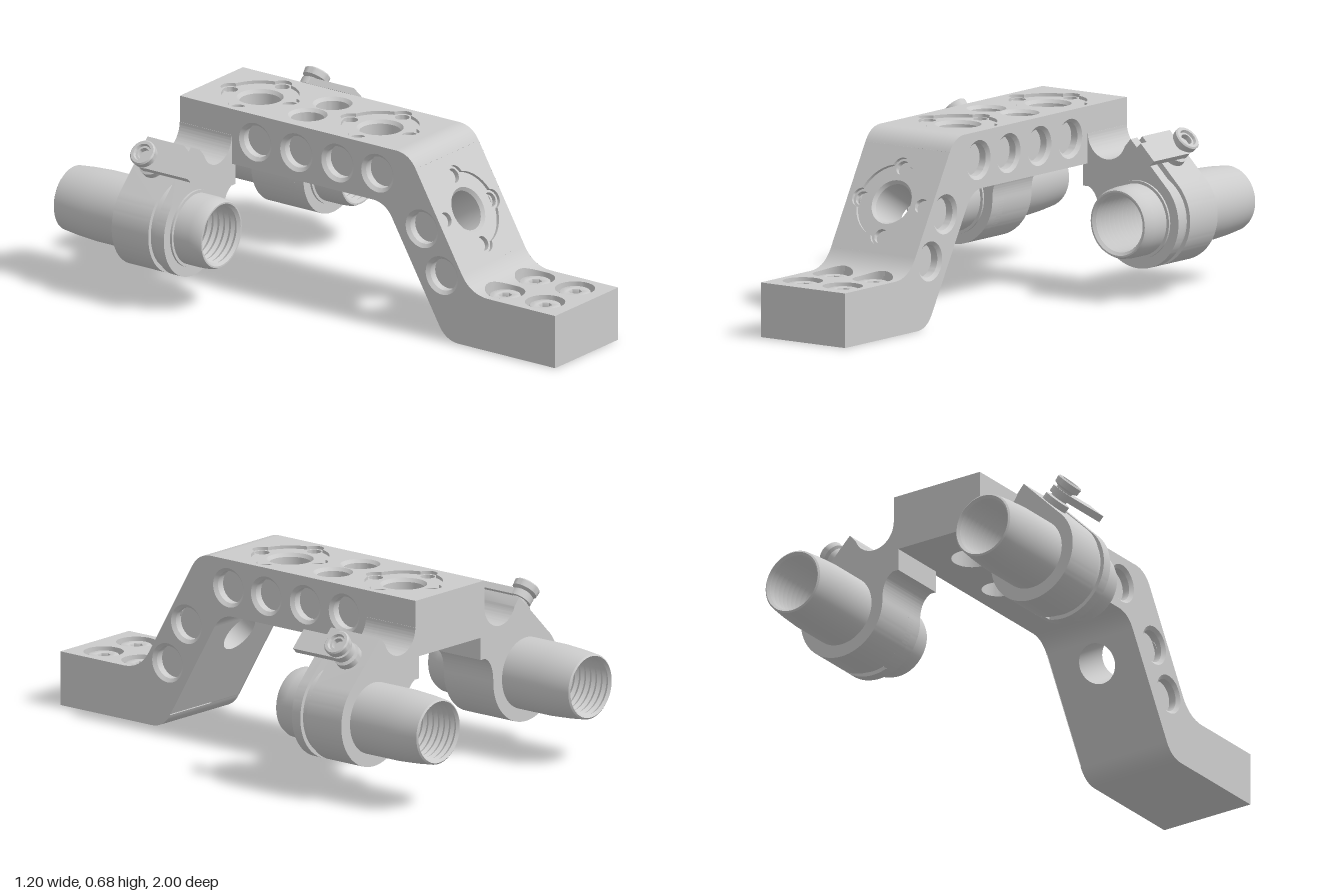
import * as THREE from 'three';
import { toCreasedNormals } from 'three/addons/utils/BufferGeometryUtils.js';

const mat = new THREE.MeshStandardMaterial({ color: 0xcccccc, side: THREE.DoubleSide });
const W = 0.19; // half width of the arm
const V = (x, y) => new THREE.Vector2(x, y);

function add(parent, name, geo, crease = 0) {
  const m = new THREE.Mesh(crease ? toCreasedNormals(geo, crease) : geo, mat);
  m.name = name;
  parent.add(m);
  return m;
}

// Grid whose vertices follow fn(u, v) -> [x, y, z]
function sheet(nu, nv, fn) {
  const g = new THREE.PlaneGeometry(1, 1, nu, nv), p = g.attributes.position;
  for (let i = 0; i < p.count; i++) p.setXYZ(i, ...fn(p.getX(i) + 0.5, p.getY(i) + 0.5));
  g.computeVertexNormals();
  return g;
}

// Closed outline around (cx, cy) with radius r(angle)
function ring(cx, cy, r, n = 40) {
  const pts = [];
  for (let i = 0; i < n; i++) {
    const a = (i / n) * Math.PI * 2, q = typeof r === 'function' ? r(a) : r;
    pts.push(V(cx + q * Math.cos(a), cy + q * Math.sin(a)));
  }
  return pts;
}

function plate(parent, name, outline, holes = [], z = 0) {
  const s = outline instanceof THREE.Shape ? outline : new THREE.Shape(outline);
  for (const h of holes) s.holes.push(new THREE.Path(h));
  return add(parent, name, new THREE.ShapeGeometry(s, 24).translate(0, 0, z));
}

// Wall joining outline a at depth za to outline b at depth zb
function wall(parent, name, a, za, b, zb) {
  const n = a.length;
  return add(parent, name, sheet(n, 1, (u, v) => {
    const i = Math.round(u * n) % n, p = v > 0.5 ? a[i] : b[i];
    return [p.x, p.y, v > 0.5 ? za : zb];
  }), 0.6);
}

// Flat face: local z points out of the material
function face(parent, name, pos, rx = 0, ry = 0) {
  const g = new THREE.Group();
  g.name = name;
  g.position.set(...pos);
  g.rotation.set(rx, ry, 0);
  parent.add(g);
  return g;
}
const rect = (x0, y0, x1, y1) => [V(x0, y0), V(x1, y0), V(x1, y1), V(x0, y1)];

// Four-lobed mounting recess with a through bore and four pin holes
function mount(parent, cy, thickness) {
  const d = 0.133, lobe = 0.036;
  const outline = ring(0, cy, a => {
    const k = ((a + Math.PI / 4) % (Math.PI / 2)) - Math.PI / 4, q = lobe ** 2 - (d * Math.sin(k)) ** 2;
    return q > 0 ? Math.max(0.142, d * Math.cos(k) + Math.sqrt(q)) : 0.142;
  }, 120);
  const wide = ring(0, cy, 0.085), bore = ring(0, cy, 0.075), holes = [wide];
  for (let i = 0; i < 4; i++) {
    const a = i * Math.PI / 2, x = d * Math.cos(a), y = cy + d * Math.sin(a), pin = ring(x, y, 0.027, 24);
    holes.push(pin);
    wall(parent, 'pinHole', pin, -0.012, pin, -0.03);
    plate(parent, 'pinHoleFloor', pin, [], -0.03);
  }
  wall(parent, 'recessWall', outline, 0, outline, -0.012);
  plate(parent, 'recessFloor', outline, holes, -0.012);
  wall(parent, 'boreChamfer', wide, -0.012, bore, -0.025);
  wall(parent, 'boreWall', bore, -0.025, bore, -thickness);
  return outline;
}

function buildArm() {
  const arm = new THREE.Group();
  arm.name = 'arm';
  // Bends of the side profile as [z, y] control points
  const bend = (...p) => new THREE.QuadraticBezierCurve(V(p[0], p[1]), V(p[2], p[3]), V(p[4], p[5]));
  const A = bend(0.70, 0.2, 0.619, 0.2, 0.5785, 0.27);
  const B = bend(0.372, 0.628, 0.342, 0.68, 0.282, 0.68);
  const D = bend(0.176, 0.47, 0.236, 0.47, 0.266, 0.418);
  const C = bend(0.478, 0.052, 0.508, 0, 0.568, 0);
  const profile = [V(1, 0.2), ...A.getPoints(16), ...B.getPoints(16), V(-0.69, 0.68), V(-0.69, 0.47),
    ...D.getPoints(16), ...C.getPoints(16), V(1, 0)];

  // Side faces with blind pockets
  const pockets = [[0.2, 0.575], [0.02, 0.575], [-0.165, 0.575], [-0.35, 0.575], [0.4, 0.405], [0.49, 0.245]];
  for (const s of [1, -1]) {
    const f = face(arm, 'sideFace', [s * W, 0, 0], 0, s * Math.PI / 2);
    const holes = pockets.map(([z, y]) => ring(-s * z, y, 0.073));
    plate(f, 'sidePlate', profile.map(p => V(-s * p.x, p.y)), holes);
    pockets.forEach(([z, y], i) => {
      const inner = ring(-s * z, y, 0.06);
      wall(f, 'pocketChamfer', holes[i], 0, inner, -0.012);
      wall(f, 'pocketWall', inner, -0.012, inner, -0.04);
      plate(f, 'pocketFloor', inner, [], -0.04);
    });
  }

  // Top deck: two mounts and a pair of through holes
  const top = face(arm, 'topDeck', [0, 0.68, 0], -Math.PI / 2);
  const topHoles = [mount(top, 0.47, 0.21), mount(top, -0.07, 0.21)];
  const under = [ring(0, 0.47, 0.075), ring(0, -0.07, 0.075)];
  for (const x of [-0.075, 0.075]) {
    const rim = ring(x, 0.2, 0.072), bore = ring(x, 0.2, 0.06);
    topHoles.push(rim);
    under.push(bore);
    wall(top, 'holeChamfer', rim, 0, bore, -0.012);
    wall(top, 'holeWall', bore, -0.012, bore, -0.21);
  }
  plate(top, 'topPlate', rect(-W, -0.282, W, 0.69), topHoles);
  plate(top, 'underPlate', rect(-W, -0.176, W, 0.69), under, -0.21);

  // Sloped part with its mount
  const slope = face(arm, 'slope', [0, 0.445, 0.4775], -Math.PI / 6);
  plate(slope, 'slopePlate', rect(-W, -0.202, W, 0.211), [mount(slope, 0, 0.192)]);
  plate(slope, 'slopeUnderPlate', rect(-W, -0.341, W, 0.083), [ring(0, 0, 0.075)], -0.192);

  // Rounded bends
  for (const c of [B, C, D])
    add(arm, 'bend', sheet(1, 16, (u, v) => { const p = c.getPoint(v); return [(u * 2 - 1) * W, p.y, p.x]; }));

  // Foot: the rear screw pockets cut into the bend
  const R = 0.073, SX = 0.09, floorY = 0.155;
  const half = z => Math.sqrt(Math.max(0, R * R - (z - 0.7) ** 2));
  const spans = [[() => -W, w => -SX - w], [w => -SX + w, w => SX - w], [w => SX + w, () => W]];
  for (const [lo, hi] of spans) add(arm, 'footBend', sheet(1, 48, (u, v) => {
    const p = A.getPoint(v), w = half(p.x);
    return [lo(w) + (hi(w) - lo(w)) * u, p.y, p.x];
  }));
  const foot = face(arm, 'foot', [0, 0.2, 0.85], -Math.PI / 2);
  const s = new THREE.Shape();
  s.moveTo(-W, -0.15).lineTo(W, -0.15).lineTo(W, 0.15);
  for (const x of [SX, -SX]) s.lineTo(x + R, 0.15).absarc(x, 0.15, R, 0, -Math.PI, true);
  s.lineTo(-W, 0.15);
  plate(foot, 'footPlate', s, [ring(SX, -0.03, R), ring(-SX, -0.03, R)]);
  for (const x of [SX, -SX]) for (const z of [0.70, 0.88]) {
    const y = 0.85 - z, rim = ring(x, y, R);
    plate(foot, 'screwPocketFloor', rim, [], floorY - 0.2);
    wall(foot, 'screwPocketWall', rim, 0, rim, floorY - 0.2);
    if (z === 0.70) for (const k of [1, -1]) add(arm, 'scallopWall', sheet(48, 1, (u, v) => {
      const p = A.getPoint(u);
      return [x + k * half(p.x), v > 0.5 ? p.y : floorY, p.x];
    }));
    // Socket head screw
    const head = new THREE.Shape(ring(0, 0, 0.052));
    head.holes.push(new THREE.Path(ring(0, 0, 0.03, 6)));
    const g = new THREE.ExtrudeGeometry(head, { depth: 0.03, bevelSize: 0.005, bevelThickness: 0.005, bevelSegments: 2 });
    add(foot, 'screwHead', g, 0.6).position.set(x, y, -0.045);
  }

  // End faces and sole
  const quad = (name, y0, z0, y1, z1) => add(arm, name,
    sheet(1, 1, (u, v) => [(u * 2 - 1) * W, y0 + (y1 - y0) * v, z0 + (z1 - z0) * v]));
  quad('frontEnd', 0, 1, 0.2, 1);
  quad('backEnd', 0.47, -0.69, 0.68, -0.69);
  quad('sole', 0, 1, 0, 0.568);
  return arm;
}

function buildClamp() {
  const clamp = new THREE.Group();
  clamp.name = 'clamp';
  const cx = 0.42, cy = 0.29, R = 0.18;
  const bracket = split => {
    const s = new THREE.Shape();
    s.moveTo(0.17, 0.58).lineTo(0.191, 0.58).absarc(0.277, 0.58, 0.086, Math.PI, 2 * Math.PI - 0.35, false);
    if (split) s.lineTo(0.36, 0.12).absarc(cx, cy, R, -1.91, -Math.PI, true);
    else s.lineTo(0.384, 0.58).lineTo(0.547, 0.417).absarc(cx, cy, R, Math.PI / 4, -Math.PI, true);
    s.quadraticCurveTo(0.24, 0.365, 0.194, 0.387).lineTo(0.17, 0.387);
    if (!split) s.holes.push(new THREE.Path(ring(cx, cy, 0.125)));
    return s;
  };
  const slab = (name, shape, z0, z1) => add(clamp, name,
    new THREE.ExtrudeGeometry(shape, { depth: z1 - z0, bevelEnabled: false, curveSegments: 40 }), 0.5)
    .position.set(0, 0, z0);
  const annulus = (r0, r1) => {
    const s = new THREE.Shape(ring(cx, cy, r1, 64));
    s.holes.push(new THREE.Path(ring(cx, cy, r0, 64)));
    return s;
  };
  slab('clampBody', bracket(false), -0.69, -0.525);
  slab('clampJaw', bracket(false), -0.495, -0.455);
  // Web bridging the slot, cut clear of the bore
  const web = bracket(true);
  web.curves = [];
  web.moveTo(0.17, 0.58).lineTo(0.191, 0.58).absarc(0.277, 0.58, 0.086, Math.PI, 2 * Math.PI - 0.35, false);
  web.lineTo(0.36, 0.40).absarc(cx, cy, 0.125, 2.07, 4.21, false);
  web.lineTo(0.36, 0.12).absarc(cx, cy, R, -1.91, -Math.PI, true);
  web.quadraticCurveTo(0.24, 0.365, 0.194, 0.387).lineTo(0.17, 0.387);
  slab('slotWeb', web, -0.525, -0.495);
  slab('slotRing', annulus(0.125, 0.165), -0.53, -0.49);
  slab('collar', annulus(0.125, 0.143), -0.46, -0.447);

  // Tube with a threaded bore
  const pts = [V(0.114, -1), V(0.12, -0.995), V(0.127, -0.93), V(0.132, -0.85), V(0.132, -0.38),
    V(0.129, -0.345), V(0.122, -0.33), V(0.116, -0.33)];
  for (let i = 0; i <= 50; i++) pts.push(V(i % 2 ? 0.112 : 0.105, -0.34 - i * 0.013));
  pts.push(pts[0].clone());
  const tube = add(clamp, 'tube', new THREE.LatheGeometry(pts, 56), 0.5);
  tube.rotation.x = Math.PI / 2;
  tube.position.set(cx, cy, 0);

  // Locking lever on the slanted ear
  const lever = new THREE.Group();
  lever.name = 'lockingLever';
  lever.position.set(0.46, 0.51, -0.605);
  lever.rotation.z = -Math.PI / 4;
  clamp.add(lever);
  const knob = [[0, -0.02], [0.05, -0.02], [0.05, 0.02], [0.032, 0.025], [0.032, 0.065], [0.048, 0.072],
    [0.05, 0.095], [0.045, 0.1], [0.034, 0.1], [0.03, 0.09], [0.022, 0.09], [0.022, 0.07], [0, 0.07]];
  add(lever, 'leverBolt', new THREE.LatheGeometry(knob.map(p => V(...p)), 32), 0.5);
  add(lever, 'leverHub', new THREE.CylinderGeometry(0.044, 0.044, 0.026, 32)).position.y = 0.045;
  add(lever, 'leverHandle', new THREE.BoxGeometry(0.085, 0.026, 0.2)).position.set(0, 0.045, 0.105);
  return clamp;
}

export function createModel() {
  const model = new THREE.Group();
  model.name = 'mountingArm';
  const left = buildClamp(), right = buildClamp();
  left.name = 'leftClamp';
  right.name = 'rightClamp';
  right.scale.x = -1;
  model.add(buildArm(), left, right);
  return model;
}
